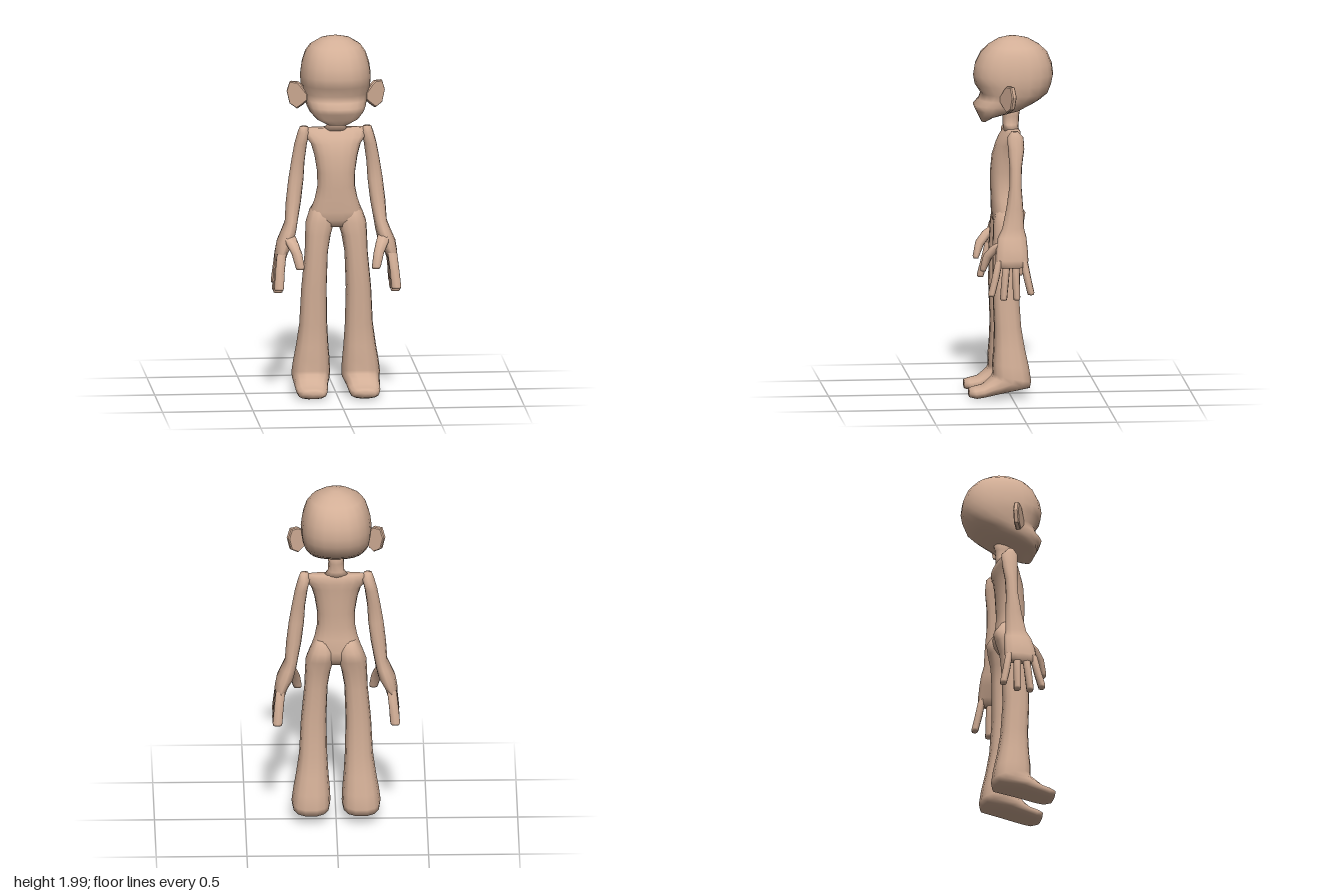
import * as THREE from 'three';

const skin = new THREE.MeshStandardMaterial({ color: 0xd2ae96 });
skin.name = 'skin';

// Skin a closed tube over rings listed from top to bottom (or heel to toe).
// Ring: [centreX, halfWidth, backY, backZ, frontZ, frontY = backY]; n is the squareness.
function loft(name, rings, side = 1, segs = 14, n = 2.2) {
  const pos = [], index = [];
  const bend = v => Math.sign(v) * Math.abs(v) ** (2 / n);
  for (const [cx, rx, yb, zb, zf, yf = yb] of rings) {
    for (let j = 0; j < segs; j++) {
      const a = (j / segs) * Math.PI * 2;
      const t = (bend(Math.sin(a)) + 1) / 2;
      pos.push(side * cx + rx * bend(Math.cos(a)), yb + (yf - yb) * t, zb + (zf - zb) * t);
    }
  }
  for (let i = 0; i < rings.length - 1; i++) {
    for (let j = 0; j < segs; j++) {
      const k = (j + 1) % segs, a = i * segs + j, b = i * segs + k;
      index.push(a, b, a + segs, b, b + segs, a + segs);
    }
  }
  // End caps
  const last = rings.length - 1;
  for (const r of [0, last]) {
    const [cx, , yb, zb, zf, yf = yb] = rings[r];
    const c = pos.length / 3;
    pos.push(side * cx, (yb + yf) / 2, (zb + zf) / 2);
    for (let j = 0; j < segs; j++) {
      const a = r * segs + j, b = r * segs + (j + 1) % segs;
      if (r === 0) index.push(c, b, a); else index.push(c, a, b);
    }
  }
  const geo = new THREE.BufferGeometry();
  geo.setAttribute('position', new THREE.Float32BufferAttribute(pos, 3));
  geo.setIndex(index);
  geo.computeVertexNormals();
  const mesh = new THREE.Mesh(geo, skin);
  mesh.name = name;
  return mesh;
}

// Flat rounded ear swept outward and back
function ear(side) {
  const outline = [[0, 1.69], [0.04, 1.735], [0.06, 1.75], [0.1, 1.75], [0.117, 1.7],
    [0.1, 1.635], [0.06, 1.612], [0.035, 1.63], [0, 1.66]];
  const shape = new THREE.Shape(outline.map(([x, y]) => new THREE.Vector2(side * x, y)));
  const geo = new THREE.ExtrudeGeometry(shape, {
    depth: 0.018, bevelEnabled: true, bevelThickness: 0.006, bevelSize: 0.005, bevelSegments: 1,
  });
  geo.translate(0, 0, -0.009);
  const mesh = new THREE.Mesh(geo, skin);
  mesh.name = side > 0 ? 'leftEar' : 'rightEar';
  mesh.position.set(side * 0.16, 0, 0.053);
  mesh.rotation.y = side * 0.5;
  return mesh;
}

function arm(side) {
  const g = new THREE.Group();
  g.name = side > 0 ? 'leftArm' : 'rightArm';
  // Shoulder, forearm and palm
  g.add(loft('armAndPalm', [
    [0.175, 0.022, 1.497, -0.03, 0.005],
    [0.175, 0.034, 1.465, -0.062, 0.028],
    [0.192, 0.035, 1.4, -0.065, 0.025],
    [0.208, 0.037, 1.3, -0.05, 0.018],
    [0.219, 0.042, 1.2, -0.047, 0.02],
    [0.233, 0.042, 1.08, -0.055, 0.038],
    [0.246, 0.036, 0.97, -0.058, 0.062],
    [0.26, 0.042, 0.92, -0.07, 0.088],
    [0.28, 0.048, 0.86, -0.075, 0.1],
    [0.302, 0.036, 0.8, -0.077, 0.105],
    [0.309, 0.03, 0.76, -0.072, 0.105],
  ], side, 12));
  // Four fanned fingers: base z, tip z, tip y
  const fingers = [[0.085, 0.128, 0.605], [0.042, 0.062, 0.582], [-0.006, -0.01, 0.582], [-0.052, -0.088, 0.61]];
  fingers.forEach(([zb, zt, y], i) => {
    const zm = (zb + zt) / 2;
    g.add(loft('finger' + (i + 1), [
      [0.306, 0.026, 0.8, zb - 0.02, zb + 0.02],
      [0.317, 0.026, 0.7, zm - 0.021, zm + 0.021],
      [0.324, 0.027, y + 0.012, zt - 0.02, zt + 0.02],
      [0.324, 0.024, y, zt - 0.017, zt + 0.017],
    ], side, 8, 2.6));
  });
  // Thumb reaching forward and inward
  g.add(loft('thumb', [
    [0.262, 0.034, 0.895, 0.03, 0.085],
    [0.248, 0.035, 0.85, 0.075, 0.125, 0.87],
    [0.226, 0.029, 0.8, 0.118, 0.165, 0.82],
    [0.211, 0.025, 0.74, 0.145, 0.182],
    [0.209, 0.021, 0.727, 0.15, 0.178],
  ], side, 8, 2.6));
  return g;
}

// Flared leg turning forward into the foot
function leg(side) {
  return loft(side > 0 ? 'leftLegAndFoot' : 'rightLegAndFoot', [
    [0.07, 0.04, 1.09, -0.04, 0.04],
    [0.078, 0.068, 1.03, -0.082, 0.085],
    [0.087, 0.08, 0.97, -0.07, 0.098],
    [0.1, 0.071, 0.9, -0.052, 0.1],
    [0.11, 0.064, 0.8, -0.045, 0.104],
    [0.123, 0.07, 0.6, -0.04, 0.104],
    [0.126, 0.077, 0.4, -0.053, 0.096],
    [0.131, 0.089, 0.28, -0.073, 0.1],
    [0.135, 0.101, 0.18, -0.095, 0.107, 0.2],
    [0.138, 0.107, 0.1, -0.107, 0.105, 0.145],
    [0.138, 0.104, 0.062, -0.1, 0.112, 0.127],
    [0.143, 0.094, 0.037, 0.03, 0.135, 0.105],
    [0.145, 0.088, 0.013, 0.15, 0.163, 0.08],
    [0.145, 0.08, 0.005, 0.195, 0.21, 0.07],
    [0.143, 0.058, 0.014, 0.236, 0.238, 0.062],
  ], side, 14, 2.5);
}

export function createModel() {
  const model = new THREE.Group();
  model.name = 'figure';

  // Head with brow dip, muzzle and small chin
  model.add(loft('head', [
    [0, 0.03, 2.0, -0.05, 0.015],
    [0, 0.085, 1.985, -0.11, 0.065],
    [0, 0.14, 1.95, -0.17, 0.12],
    [0, 0.168, 1.91, -0.21, 0.16],
    [0, 0.187, 1.85, -0.235, 0.19],
    [0, 0.195, 1.79, -0.243, 0.2],
    [0, 0.193, 1.74, -0.233, 0.192],
    [0, 0.184, 1.69, -0.212, 0.16],
    [0, 0.173, 1.655, -0.17, 0.172],
    [0, 0.164, 1.625, -0.12, 0.2],
    [0, 0.15, 1.595, -0.06, 0.188],
    [0, 0.112, 1.56, 0.085, 0.17],
    [0, 0.05, 1.53, 0.13, 0.155],
  ], 1, 20, 2.3));

  model.add(loft('neck', [
    [0, 0.05, 1.62, -0.065, 0.05],
    [0, 0.043, 1.56, -0.055, 0.038],
    [0, 0.045, 1.51, -0.052, 0.036],
    [0, 0.075, 1.475, -0.052, 0.03],
  ], 1, 12));

  // Slim torso spreading to flat shoulders and rounded hips
  model.add(loft('torso', [
    [0, 0.16, 1.489, -0.045, 0.012],
    [0, 0.178, 1.475, -0.058, 0.028],
    [0, 0.165, 1.44, -0.06, 0.055],
    [0, 0.138, 1.405, -0.057, 0.075],
    [0, 0.119, 1.34, -0.052, 0.096],
    [0, 0.105, 1.25, -0.048, 0.105],
    [0, 0.104, 1.17, -0.044, 0.105],
    [0, 0.118, 1.1, -0.05, 0.102],
    [0, 0.143, 1.03, -0.064, 0.1],
    [0, 0.15, 0.985, -0.055, 0.095],
    [0, 0.09, 0.945, -0.03, 0.075],
  ], 1, 18, 2.3));

  for (const side of [1, -1]) model.add(ear(side), arm(side), leg(side));
  return model;
}
